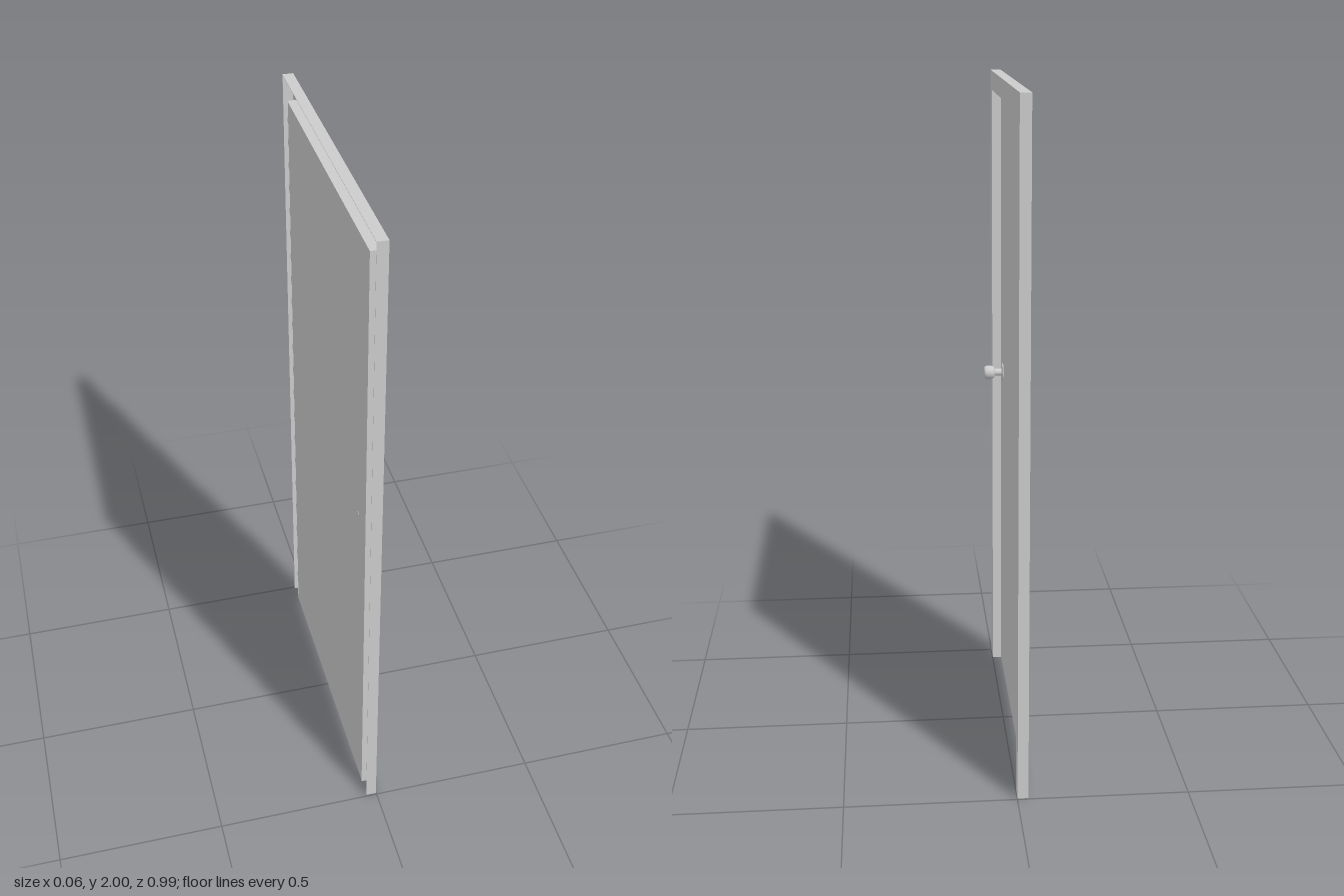
import * as THREE from 'three';

const BACK = -0.0325, FRONT = -0.001, SHEET = 0.0015;
const grey = new THREE.MeshStandardMaterial({ color: 0xcccccc, side: THREE.DoubleSide });

function addMesh(parent, name, geometry) {
  const mesh = new THREE.Mesh(geometry, grey);
  mesh.name = name;
  parent.add(mesh);
  return mesh;
}

// Upside-down U band that runs up, across and down, extruded from x0 to x1
function archBand(halfWidth, height, band, x0, x1) {
  const w = halfWidth, i = halfWidth - band;
  const shape = new THREE.Shape([
    [-w, 0], [-i, 0], [-i, height - band], [i, height - band],
    [i, 0], [w, 0], [w, height], [-w, height],
  ].map(([a, b]) => new THREE.Vector2(a, b)));
  const geometry = new THREE.ExtrudeGeometry(shape, { depth: x1 - x0, bevelEnabled: false });
  return geometry.rotateY(Math.PI / 2).translate(x0, 0, 0);
}

// Lathe around the x axis from [x, radius] pairs
function turned(profile) {
  const points = profile.map(([x, r]) => new THREE.Vector2(r, x));
  return new THREE.LatheGeometry(points, 32).rotateZ(-Math.PI / 2);
}

export function createModel() {
  const model = new THREE.Group();
  model.name = 'door';

  // Folded sheet frame: front face with outer and inner returns, open at the back
  const frame = new THREE.Group();
  frame.name = 'frame';
  addMesh(frame, 'frameFace', archBand(0.495, 2, 0.058, FRONT - SHEET, FRONT));
  addMesh(frame, 'outerReturn', archBand(0.495, 2, SHEET, BACK, FRONT - SHEET));
  addMesh(frame, 'innerReturn', archBand(0.437 + SHEET, 1.942 + SHEET, SHEET, BACK, FRONT - SHEET));
  model.add(frame);

  // Leaf set at the back of the frame
  const leaf = addMesh(model, 'leaf', new THREE.BoxGeometry(0.002, 1.938, 0.874));
  leaf.position.set(BACK + 0.002, 0.971, 0);

  // Round knob with rosette and neck
  const knob = new THREE.Group();
  knob.name = 'knobSet';
  knob.position.set(0, 1.052, 0.355);
  addMesh(knob, 'rosette', turned([
    [-0.031, 0], [-0.031, 0.029], [-0.027, 0.029], [-0.027, 0.029], [-0.024, 0.025], [-0.024, 0.011],
  ]));
  addMesh(knob, 'neck', turned([[BACK, 0], [BACK, 0.008], [BACK, 0.008], [-0.024, 0.011], [0, 0.011]]));
  addMesh(knob, 'knob', turned([
    [-0.002, 0], [-0.002, 0.013], [0.001, 0.017], [0.005, 0.0205], [0.012, 0.0215], [0.022, 0.0215],
    [0.028, 0.0205], [0.031, 0.018], [0.0325, 0.015], [0.0325, 0.015], [0.0325, 0],
  ]));
  model.add(knob);

  return model;
}
